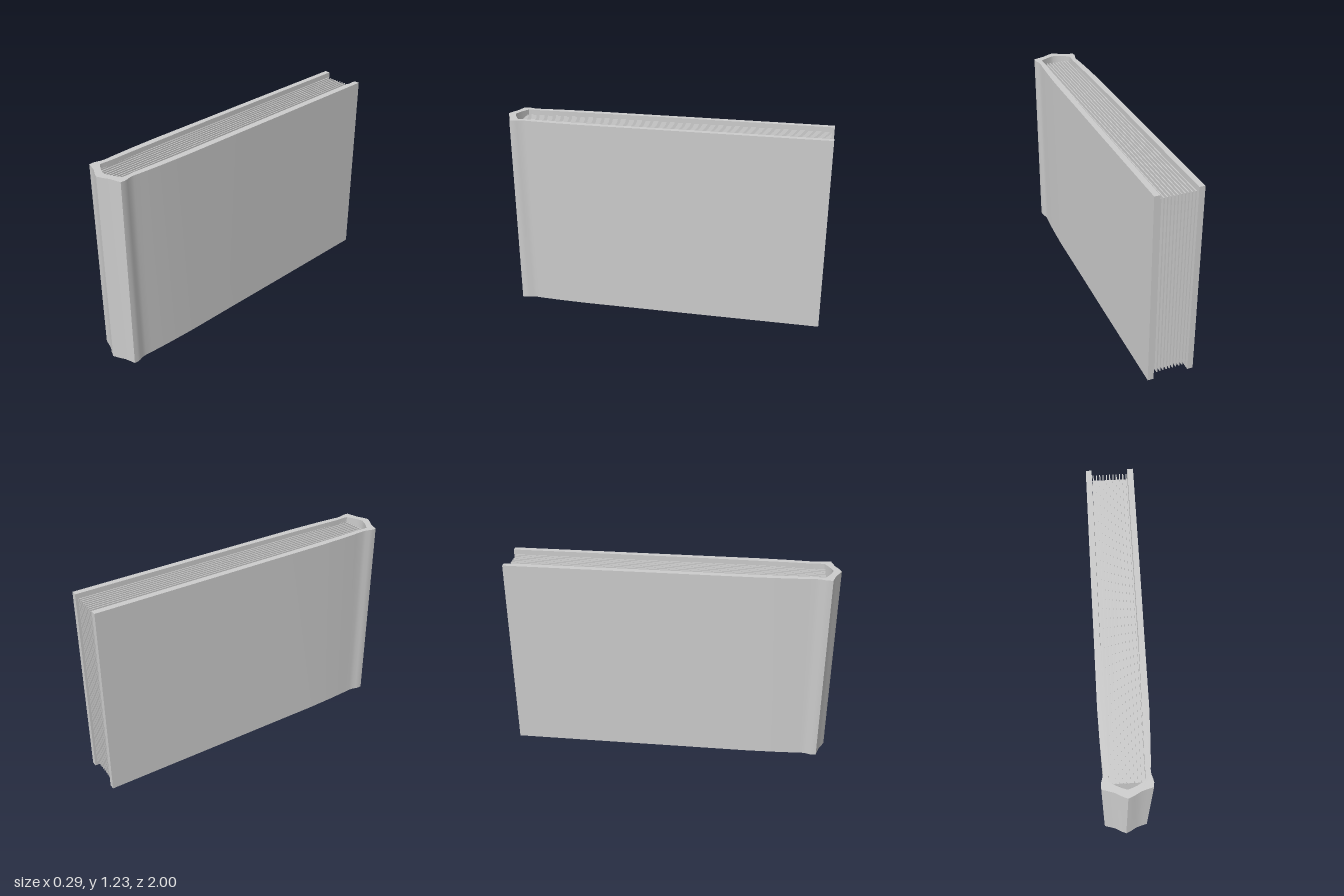
import * as THREE from 'three';
import { toCreasedNormals } from 'three/addons/utils/BufferGeometryUtils.js';

const HEIGHT = 1.225;
const material = new THREE.MeshStandardMaterial({ color: 0xcccccc });

// One half of the cover section as [x, z], back edge to spine centre
const outer = [[0.143, -1], [0.143, -0.25], [0.142, 0.1], [0.142, 0.5], [0.137, 0.68], [0.131, 0.8],
  [0.127, 0.85], [0.129, 0.875], [0.137, 0.9], [0.141, 0.92], [0.139, 0.945], [0.11, 0.953],
  [0.07, 0.965], [0.035, 0.985], [0, 1]];
const inner = [[0.108, -1], [0.108, 0.1], [0.104, 0.4], [0.1, 0.7], [0.096, 0.83],
  [0.1, 0.88], [0.098, 0.905], [0.06, 0.928], [0.03, 0.942], [0, 0.952]];

// Outline through one half and its mirror image
function mirrored(half) {
  return [...half, ...half.slice(0, -1).reverse().map(([x, z]) => [-x, z])];
}

function box(name, w, h, d, x, z) {
  const mesh = new THREE.Mesh(new THREE.BoxGeometry(w, h, d), material);
  mesh.name = name;
  mesh.position.set(x, HEIGHT / 2, z);
  return mesh;
}

export function createModel() {
  const book = new THREE.Group();
  book.name = 'book';

  // Wrap-around cover with hinge grooves and a bowed spine
  const outline = [...mirrored(outer), ...mirrored(inner).reverse()];
  const shape = new THREE.Shape(outline.map(([x, z]) => new THREE.Vector2(x, -z)));
  const geometry = new THREE.ExtrudeGeometry(shape, { depth: HEIGHT, bevelEnabled: false });
  geometry.rotateX(-Math.PI / 2);
  const cover = new THREE.Mesh(toCreasedNormals(geometry, 0.8), material);
  cover.name = 'cover';
  book.add(cover);

  // Page block with thin sheets standing proud of it on three edges
  const pages = new THREE.Group();
  pages.name = 'pages';
  pages.add(box('pageBlock', 0.214, HEIGHT - 0.1, 1.868, 0, -0.026));
  for (let i = -5; i <= 5; i++) {
    pages.add(box('sheet', 0.006, HEIGHT - 0.06, 1.895, i * 0.02, -0.0375));
  }
  book.add(pages);
  return book;
}
